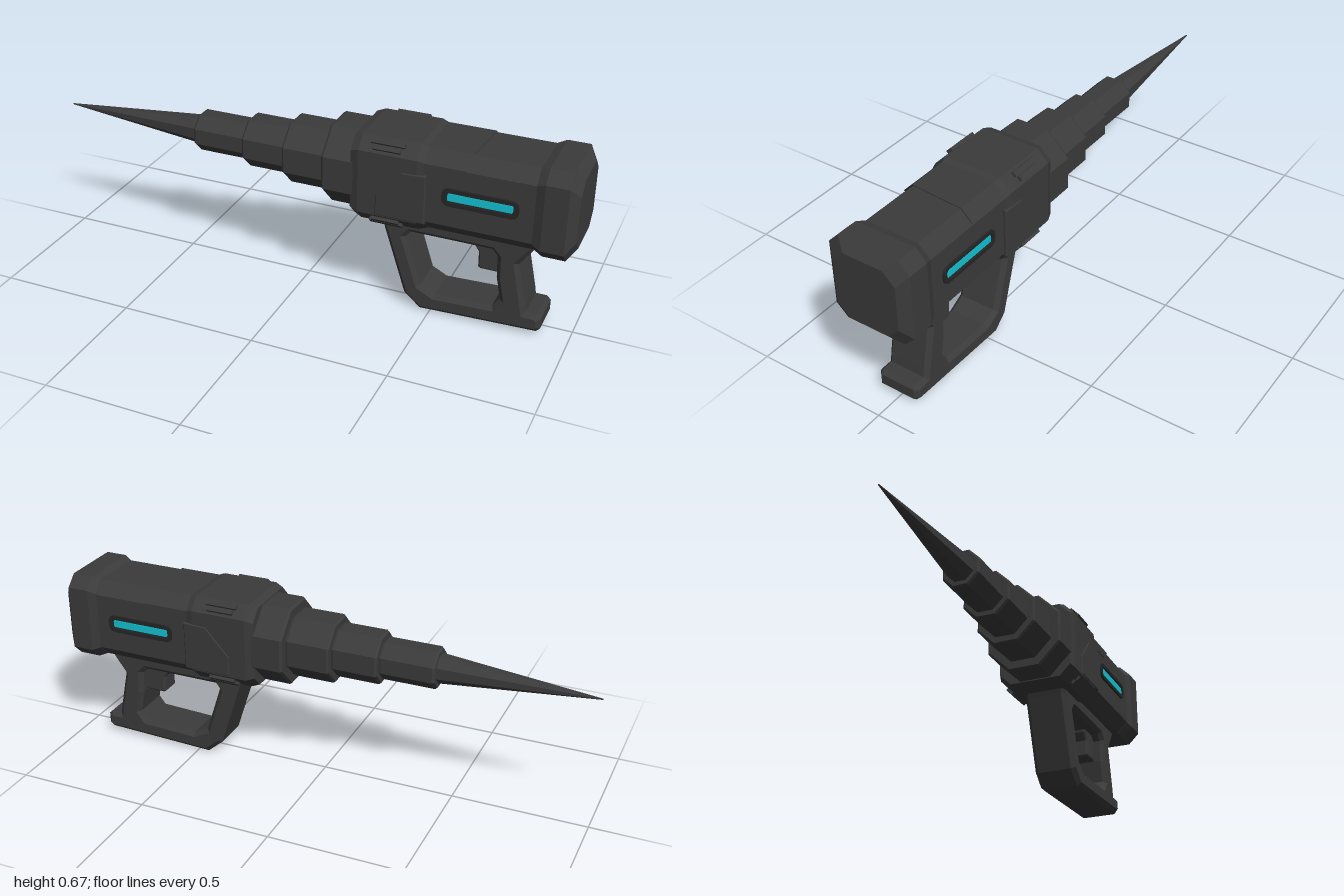
import * as THREE from 'three';

const AXIS = 0.51; // height of the barrel axis
const REGULAR = 2 - Math.SQRT2; // chamfer ratio of a regular octagon

const mat = (name, color) => {
  const m = new THREE.MeshStandardMaterial({ color });
  m.name = name;
  return m;
};

// Chamfered box section as [y, z] pairs around the axis
function ring(hy, hz, c) {
  return [
    [hy, -hz + c], [hy, hz - c], [hy - c, hz], [-hy + c, hz],
    [-hy, hz - c], [-hy, -hz + c], [-hy + c, -hz], [hy - c, -hz],
  ];
}

// Faceted loft along x through sections [x, halfHeight, halfDepth, chamfer]
function loft(sections) {
  const rings = sections.map(([x, hy, hz, c]) =>
    ring(hy, hz, c).map(([y, z]) => [x, AXIS + y, z]));
  const pos = [];
  const tri = (...pts) => pts.forEach((p) => pos.push(...p));
  for (let s = 0; s < rings.length - 1; s++) {
    const a = rings[s], b = rings[s + 1];
    for (let i = 0; i < 8; i++) {
      const j = (i + 1) % 8;
      tri(a[i], a[j], b[j]);
      tri(a[i], b[j], b[i]);
    }
  }
  const first = rings[0], last = rings[rings.length - 1];
  for (let i = 1; i < 7; i++) {
    tri(first[0], first[i + 1], first[i]);
    tri(last[0], last[i], last[i + 1]);
  }
  const g = new THREE.BufferGeometry();
  g.setAttribute('position', new THREE.Float32BufferAttribute(pos, 3));
  g.computeVertexNormals();
  return g;
}

const polygon = (pts) => new THREE.Shape(pts.map(([x, y]) => new THREE.Vector2(x, y)));

// Extrusion centred on z = 0 with a chamfer that stays inside the outline
function slab(shape, half, bevel) {
  const g = new THREE.ExtrudeGeometry(shape, {
    depth: 2 * (half - bevel), bevelEnabled: bevel > 0, bevelThickness: bevel,
    bevelSize: bevel, bevelOffset: -bevel, bevelSegments: 1, curveSegments: 6,
  });
  return g.translate(0, 0, -(half - bevel));
}

// Rounded bar outline centred on x, y
function pill(x, y, w, h, r) {
  const s = new THREE.Shape(), a = x - w / 2, b = x + w / 2, d = y - h / 2, t = y + h / 2;
  s.moveTo(a + r, d).lineTo(b - r, d).quadraticCurveTo(b, d, b, d + r);
  s.lineTo(b, t - r).quadraticCurveTo(b, t, b - r, t);
  s.lineTo(a + r, t).quadraticCurveTo(a, t, a, t - r);
  s.lineTo(a, d + r).quadraticCurveTo(a, d, a + r, d);
  return s;
}

export function createModel() {
  const model = new THREE.Group();
  model.name = 'drillTool';
  const casing = mat('charcoal casing', 0x3b3b3b);
  const trim = mat('dark trim', 0x262626);
  const glow = mat('cyan light', 0x12c6d6);
  casing.flatShading = true;

  const add = (name, geometry, material) => {
    const m = new THREE.Mesh(geometry, material);
    m.name = name;
    model.add(m);
    return m;
  };

  // Needle tip
  add('tip', loft([
    [-1, 0.002, 0.002, 0.002 * REGULAR],
    [-0.42, 0.051, 0.051, 0.051 * REGULAR],
  ]), casing);

  // Telescoping octagonal barrel
  [[-0.435, -0.22, 0.07], [-0.23, -0.05, 0.09], [-0.06, 0.115, 0.115], [0.105, 0.25, 0.148]]
    .forEach(([x0, x1, r], i) => {
      const e = r - 0.006;
      add(`barrelStage${i + 1}`, loft([
        [x0, e, e, e * REGULAR], [x0 + 0.008, r, r, r * REGULAR],
        [x1 - 0.018, r, r, r * REGULAR], [x1, e, e, e * REGULAR],
      ]), casing);
    });

  // Main housing, front collar and rear cap
  add('housing', loft([[0.3, 0.152, 0.146, 0.045], [0.9, 0.152, 0.146, 0.045]]), casing);
  add('collar', loft([
    [0.215, 0.152, 0.145, 0.044], [0.245, 0.162, 0.155, 0.044],
    [0.455, 0.162, 0.155, 0.044], [0.49, 0.152, 0.146, 0.044],
  ]), casing);
  add('rearCap', loft([
    [0.86, 0.152, 0.146, 0.043], [0.89, 0.163, 0.158, 0.042],
    [0.97, 0.163, 0.158, 0.042], [1, 0.127, 0.122, 0.044],
  ]), casing);

  // Raised upper shell behind the collar
  const shell = polygon([
    [-0.149, 0.585], [0.149, 0.585], [0.149, 0.621], [0.104, 0.666], [-0.104, 0.666], [-0.149, 0.621],
  ]);
  const shellGeometry = new THREE.ExtrudeGeometry(shell, { depth: 0.2, bevelEnabled: false });
  const p = shellGeometry.attributes.position;
  for (let i = 0; i < p.count; i++) { // slanted rear edge
    if (p.getZ(i) > 0.1) p.setZ(i, 0.2 - Math.max(0, 0.621 - p.getY(i)) - 0.15 * Math.max(0, -p.getX(i)));
  }
  shellGeometry.rotateY(Math.PI / 2).translate(0.45, 0, 0);
  shellGeometry.computeVertexNormals();
  add('upperShell', shellGeometry, casing);

  // Stepped panel on both flanks of the collar
  add('sidePanels', slab(polygon([
    [0.31, 0.395], [0.49, 0.395], [0.49, 0.578], [0.4, 0.575], [0.31, 0.475],
  ]), 0.158, 0.004), casing);

  // Light bars in dark frames on both sides
  for (const side of [1, -1]) {
    const label = side > 0 ? 'front' : 'back';
    const place = (name, shape, depth, z, material) => {
      const g = new THREE.ExtrudeGeometry(shape, { depth, bevelEnabled: false, curveSegments: 5 });
      add(name, g.translate(0, 0, side > 0 ? z : -z - depth), material);
    };
    const frame = pill(0.677, 0.515, 0.265, 0.066, 0.028);
    frame.holes.push(pill(0.677, 0.515, 0.236, 0.038, 0.014));
    place(`${label}LightFrame`, frame, 0.009, 0.144, trim);
    place(`${label}LightRecess`, pill(0.677, 0.515, 0.245, 0.045, 0.014), 0.003, 0.144, trim);
    place(`${label}Light`, pill(0.677, 0.515, 0.225, 0.027, 0.006), 0.004, 0.146, glow);

    // Vent ribs on the collar corners
    for (const up of [1, -1]) {
      for (const [k, offset] of [[1, -0.011], [2, 0.011]]) {
        const rib = add(`${label}${up > 0 ? 'Upper' : 'Lower'}Vent${k}`,
          new THREE.BoxGeometry(0.14 - 0.02 * k, 0.018, 0.014), casing);
        const s = Math.SQRT1_2;
        rib.position.set(0.345, AXIS + up * (0.143 - offset * s), side * (0.136 + offset * s));
        rib.rotation.x = side > 0 ? -up * Math.PI / 4 : up * Math.PI / 4;
      }
    }
  }

  // Loop handle with a rear foot
  const handle = polygon([
    [0.295, 0.37], [0.31, 0.33], [0.4, 0.055], [0.46, 0.003], [0.885, 0.018], [0.9, 0.032],
    [0.9, 0.072], [0.885, 0.086], [0.845, 0.086], [0.84, 0.115], [0.807, 0.27], [0.853, 0.335], [0.865, 0.37],
  ]);
  handle.holes.push(new THREE.Path([
    [0.4, 0.285], [0.415, 0.306], [0.71, 0.306], [0.73, 0.285], [0.733, 0.2], [0.75, 0.115],
    [0.725, 0.082], [0.515, 0.074], [0.46, 0.102],
  ].map(([x, y]) => new THREE.Vector2(x, y))));
  add('handle', slab(handle, 0.083, 0.016), casing);

  // Trigger
  add('trigger', slab(polygon([
    [0.63, 0.32], [0.635, 0.295], [0.655, 0.265], [0.656, 0.205], [0.665, 0.2], [0.75, 0.2], [0.75, 0.32],
  ]), 0.04, 0.006), casing);

  return model;
}
